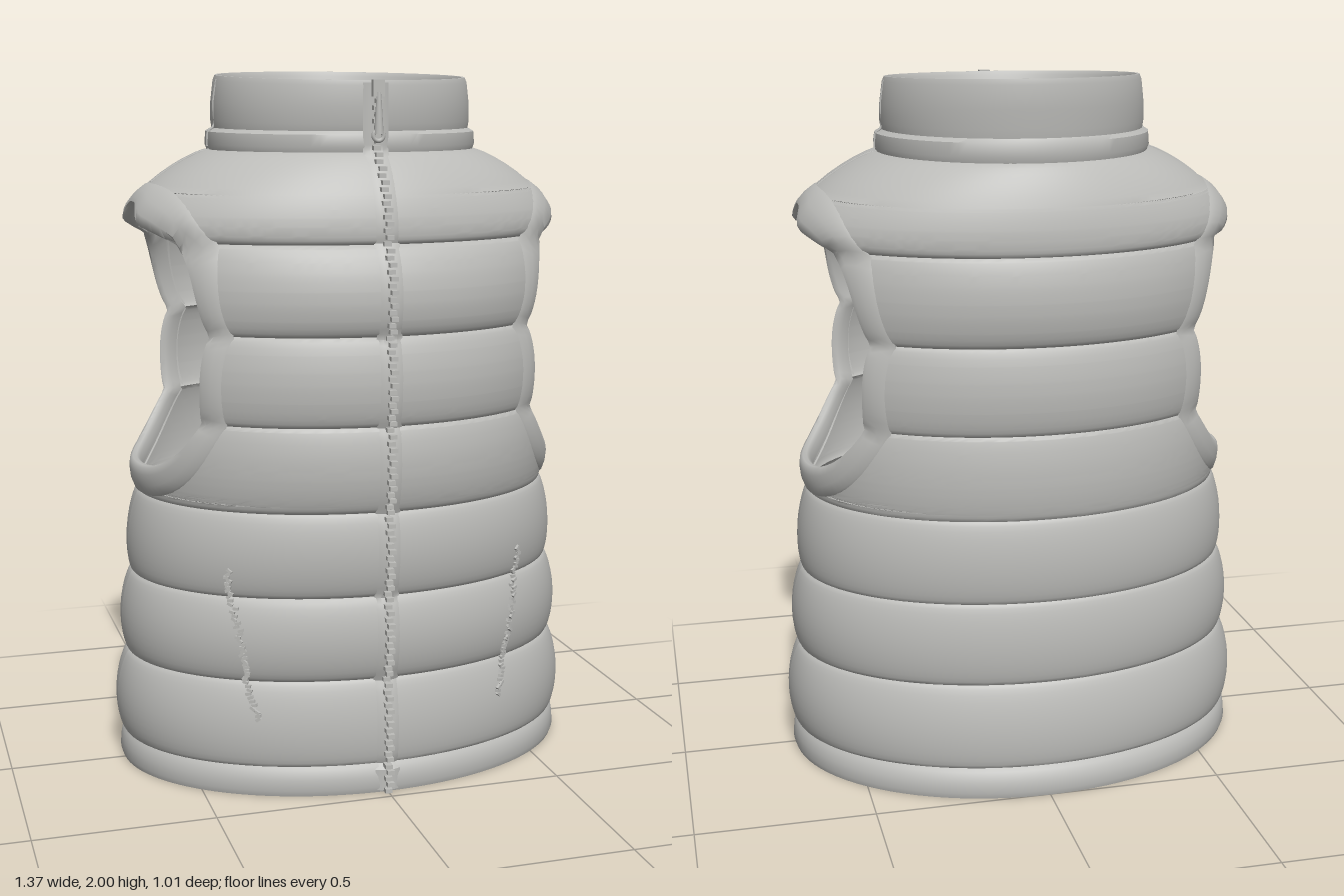
import * as THREE from 'three';
import { mergeGeometries, toCreasedNormals } from 'three/addons/utils/BufferGeometryUtils.js';

const CZ = -0.01; // depth of the side seams
// quilting seams: y, half width, front z, back z, then the puff above the seam in each direction
const SEAMS = [
  [0.085, 0.66, 0.45, -0.48, 0.031, 0.022, 0.022],
  [0.33, 0.645, 0.435, -0.455, 0.028, 0.03, 0.02],
  [0.57, 0.63, 0.44, -0.45, 0.022, 0.026, 0.02],
  [0.81, 0.608, 0.448, -0.445, 0.012, 0.026, 0.018],
  [1.05, 0.605, 0.458, -0.442, 0.016, 0.028, 0.024],
  [1.295, 0.605, 0.452, -0.442, 0.016, 0.04, 0.03],
  [1.54, 0.605, 0.425, -0.445, 0.09, 0.04, 0.03],
  [1.78, 0.385, 0.325, -0.38, 0, 0, 0],
];

// body cross-section at a height: half width, front z, back z
function section(y) {
  let i = 0;
  while (i < SEAMS.length - 2 && y >= SEAMS[i + 1][0]) i++;
  const p = SEAMS[i], q = SEAMS[i + 1];
  const t = THREE.MathUtils.clamp((y - p[0]) / (q[0] - p[0]), 0, 1);
  const puff = Math.pow(Math.max(0, Math.sin(Math.PI * t)), 0.6);
  const mix = (k) => p[k] + (q[k] - p[k]) * t;
  return [mix(1) + p[4] * puff, mix(2) + p[5] * puff, mix(3) - p[6] * puff];
}

// point on an oval with different depth at front and back
function oval([a, f, k], angle, y) {
  const s = Math.sin(angle);
  return [a * Math.cos(angle), y, CZ + s * (s > 0 ? f - CZ : CZ - k)];
}

function sideX(z, y) {
  const [a, f, k] = section(y);
  const r = (z - CZ) / (z > CZ ? f - CZ : k - CZ);
  return a * Math.sqrt(Math.max(0, 1 - r * r));
}

function frontZ(x, y) {
  if (y > 1.78) return 0.331 - x * x;
  const [a, f] = y < 0.085 ? [0.67, 0.465] : section(y);
  return CZ + (f - CZ) * Math.sqrt(1 - (x / a) ** 2);
}

// surface from rows of points
function grid(rows, cols, point, crease = 0.7) {
  const pos = [], index = [];
  for (let i = 0; i <= rows; i++)
    for (let j = 0; j <= cols; j++) pos.push(...point(i, j / cols));
  for (let i = 0; i < rows; i++)
    for (let j = 0; j < cols; j++) {
      const a = i * (cols + 1) + j, b = a + 1, c = a + cols + 1, d = c + 1;
      index.push(a, c, b, b, c, d);
    }
  const geo = new THREE.BufferGeometry();
  geo.setAttribute('position', new THREE.Float32BufferAttribute(pos, 3));
  geo.setIndex(index);
  return toCreasedNormals(geo, crease);
}

// oval ring swept through a profile of [halfWidth, front, back, y]
function ring(profile, tilt = 0) {
  return grid(profile.length - 1, 96, (i, u) => {
    const [a, f, k, y] = profile[i];
    const p = oval([a, f, k], u * Math.PI * 2, y);
    p[1] -= tilt * p[2] * Math.max(0, (y - 1.78) / 0.2);
    return p;
  });
}

// rounded armhole outline around (z 0, y cy)
function outline(angle, hw, hh, cy, n = 3) {
  const c = Math.cos(angle), s = Math.sin(angle);
  const r = Math.pow(Math.abs(c / hw) ** n + Math.abs(s / hh) ** n, -1 / n);
  return [r * c, cy + r * s];
}

export function createModel() {
  const model = new THREE.Group();
  const cloth = new THREE.MeshStandardMaterial({ color: 0xbcbcb9, side: THREE.DoubleSide });
  const add = (name, geo, parent = model) => {
    const mesh = new THREE.Mesh(geo, cloth);
    mesh.name = name;
    parent.add(mesh);
    return mesh;
  };

  // quilted front and back panels, cut away at the armholes
  const cutW = 0.325, cutH = 0.42, cutY = 1.25;
  const levels = [];
  for (let i = 0; i < SEAMS.length - 1; i++)
    for (let j = 0; j < 14; j++) {
      const t = (1 - Math.cos((Math.PI * j) / 14)) / 2;
      levels.push(SEAMS[i][0] + (SEAMS[i + 1][0] - SEAMS[i][0]) * t);
    }
  for (let j = 0; j <= 30; j++) levels.push(cutY - cutH * Math.cos((Math.PI * j) / 30) + 1e-4);
  levels.push(1.78);
  levels.sort((a, b) => a - b);
  for (const [name, start] of [['frontPanel', 0], ['backPanel', Math.PI]]) {
    add(name, grid(levels.length - 1, 56, (i, u) => {
      const y = levels[i], s = section(y);
      const h = Math.max(0, 1 - Math.abs((y - cutY) / cutH) ** 3);
      const depth = start ? CZ - s[2] : s[1] - CZ;
      const edge = Math.asin((cutW * Math.cbrt(h)) / depth);
      return oval(s, start + edge + (Math.PI - 2 * edge) * u, y);
    }));
  }

  // hem with a folded inside edge
  add('hem', ring([
    [0.64, 0.435, -0.47, 0.09], [0.645, 0.44, -0.475, 0.02], [0.655, 0.45, -0.487, 0.003],
    [0.668, 0.462, -0.503, 0.003], [0.674, 0.468, -0.508, 0.02], [0.672, 0.466, -0.504, 0.05],
    [0.667, 0.46, -0.493, 0.078], [0.658, 0.448, -0.479, 0.09],
  ]));

  // stand-up collar with base seam, rim and inside
  add('collar', ring([
    [0.384, 0.324, -0.379, 1.775], [0.391, 0.331, -0.386, 1.795], [0.388, 0.329, -0.384, 1.83],
    [0.37, 0.321, -0.377, 1.84], [0.373, 0.326, -0.38, 1.86], [0.372, 0.328, -0.383, 1.91],
    [0.364, 0.33, -0.388, 1.97], [0.358, 0.326, -0.384, 1.984], [0.35, 0.32, -0.378, 1.984],
    [0.343, 0.312, -0.37, 1.972], [0.346, 0.302, -0.36, 1.86], [0.36, 0.3, -0.355, 1.765],
  ], 0.04));

  // armhole bindings: across from the outer edge to the lip, then folded inward
  const across = [[0, -0.004], [0.06, 0.005], [0.35, 0.011], [0.7, 0.012], [0.92, 0.008], [1, 0], [1, -0.012], [0.9, -0.022], [0.5, -0.025]];
  const binding = grid(across.length - 1, 120, (i, u) => {
    const angle = u * Math.PI * 2, [t, lift] = across[i];
    const outer = outline(angle, 0.342, 0.44, 1.25);
    const inner = outline(angle, 0.3, 0.34, 1.24);
    if (inner[1] > 1.24) inner[1] += 0.055 * Math.exp(-((inner[0] / 0.075) ** 4));
    const z = outer[0] + (inner[0] - outer[0]) * t, y = outer[1] + (inner[1] - outer[1]) * t;
    return [sideX(z, y) + lift, y, z];
  }, 0.9);
  add('leftArmholeBinding', binding);
  add('rightArmholeBinding', binding).scale.x = -1;

  // shoulder and collar side seams
  for (const side of [1, -1]) {
    const path = [1.69, 1.71, 1.73, 1.75, 1.77, 1.78].map((y) => new THREE.Vector3(side * section(y)[0], y, CZ));
    add('shoulderSeam', new THREE.TubeGeometry(new THREE.CatmullRomCurve3(path), 20, 0.004, 6));
    const up = [[0.391, 1.79], [0.388, 1.83], [0.372, 1.845], [0.372, 1.91], [0.362, 1.975]]
      .map(([x, y]) => new THREE.Vector3(side * x, y, CZ));
    add('collarSeam', new THREE.TubeGeometry(new THREE.CatmullRomCurve3(up), 20, 0.004, 6));
  }

  // front zip: tape, teeth and pull
  const zip = new THREE.Group();
  zip.name = 'frontZip';
  model.add(zip);
  add('zipTape', grid(130, 4, (i, u) => {
    const x = 0.036 - 0.072 * u, y = 0.01 + (1.955 * i) / 130;
    return [x, y, frontZ(x, y) + (u === 0 || u === 1 ? -0.002 : 0.005)];
  }), zip);
  const teeth = [];
  for (let i = 0; i < 110; i++) {
    const y = 0.012 + i * 0.0178;
    teeth.push(new THREE.BoxGeometry(0.02, 0.012, 0.026)
      .translate(i % 2 ? 0.003 : -0.003, y, frontZ(0, y) + 0.008));
  }
  add('zipTeeth', mergeGeometries(teeth), zip);
  add('zipSlider', new THREE.BoxGeometry(0.032, 0.045, 0.02).translate(0, 1.95, 0.348), zip);
  add('zipPull', new THREE.CylinderGeometry(0.006, 0.013, 0.11, 10).translate(0, 1.885, 0.355), zip);
  add('zipPullEnd', new THREE.TorusGeometry(0.014, 0.006, 8, 20).translate(0, 1.825, 0.352), zip);

  // slanted pocket closures
  let seed = 7;
  const rand = () => (seed = (seed * 16807) % 2147483647) / 2147483647;
  const stitches = [];
  for (let i = 0; i < 44; i++) {
    const t = i / 43, y = 0.65 - 0.42 * t;
    const x = 0.43 - 0.07 * t + (rand() - 0.5) * 0.014;
    stitches.push(new THREE.BoxGeometry(0.016, 0.008, 0.012)
      .rotateZ((rand() - 0.5) * 1.6).rotateY(0.6).translate(x, y, frontZ(x, y) + 0.001));
  }
  const pocket = mergeGeometries(stitches);
  add('leftPocketClosure', pocket);
  add('rightPocketClosure', pocket).scale.x = -1;

  return model;
}
